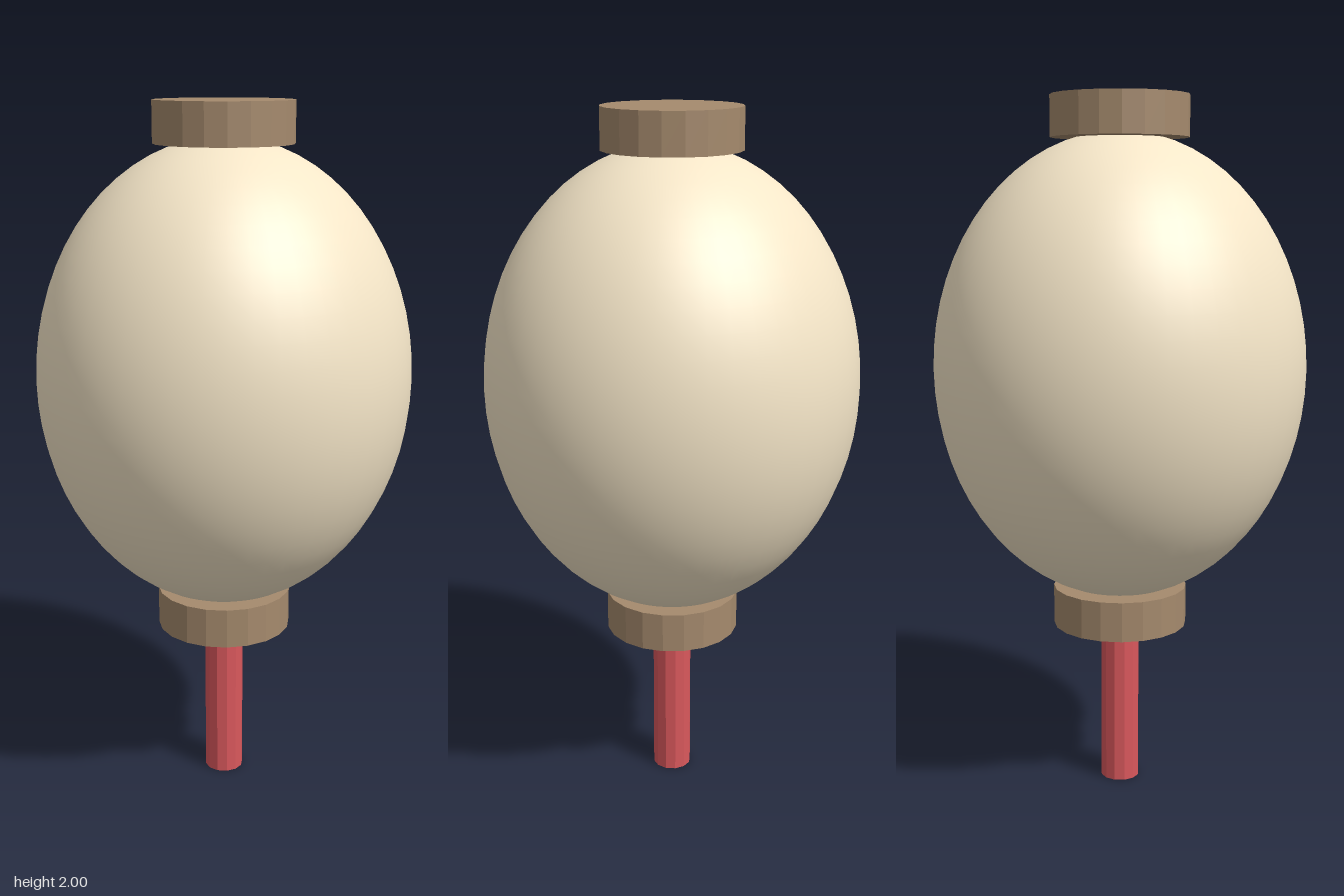
import * as THREE from 'three';

const CENTER_Y = 1.2415;

function addPart(group, name, geometry, color, y, flatShading) {
  const mesh = new THREE.Mesh(geometry, new THREE.MeshStandardMaterial({ color, flatShading }));
  mesh.name = name;
  mesh.position.y = y;
  group.add(mesh);
  return mesh;
}

export function createModel() {
  const group = new THREE.Group();
  group.name = 'hangingLantern';

  // Smooth egg-shaped paper shade
  const shade = new THREE.SphereGeometry(0.53, 48, 32).scale(1, 1.25, 1);
  addPart(group, 'paperShade', shade, 0xf5e6c8, CENTER_Y, false);

  // Matching faceted wooden caps above and below
  for (const [name, side] of [['topCap', 1], ['bottomCap', -1]]) {
    const cap = new THREE.CylinderGeometry(0.195, 0.195, 0.115, 20);
    addPart(group, name, cap, 0xa58a6d, CENTER_Y + side * 0.701, true);
  }

  // Tassel hanging from the bottom cap
  const tassel = new THREE.CylinderGeometry(0.057, 0.057, 0.485, 12);
  addPart(group, 'tassel', tassel, 0xd9585c, 0.2425, true);

  return group;
}
